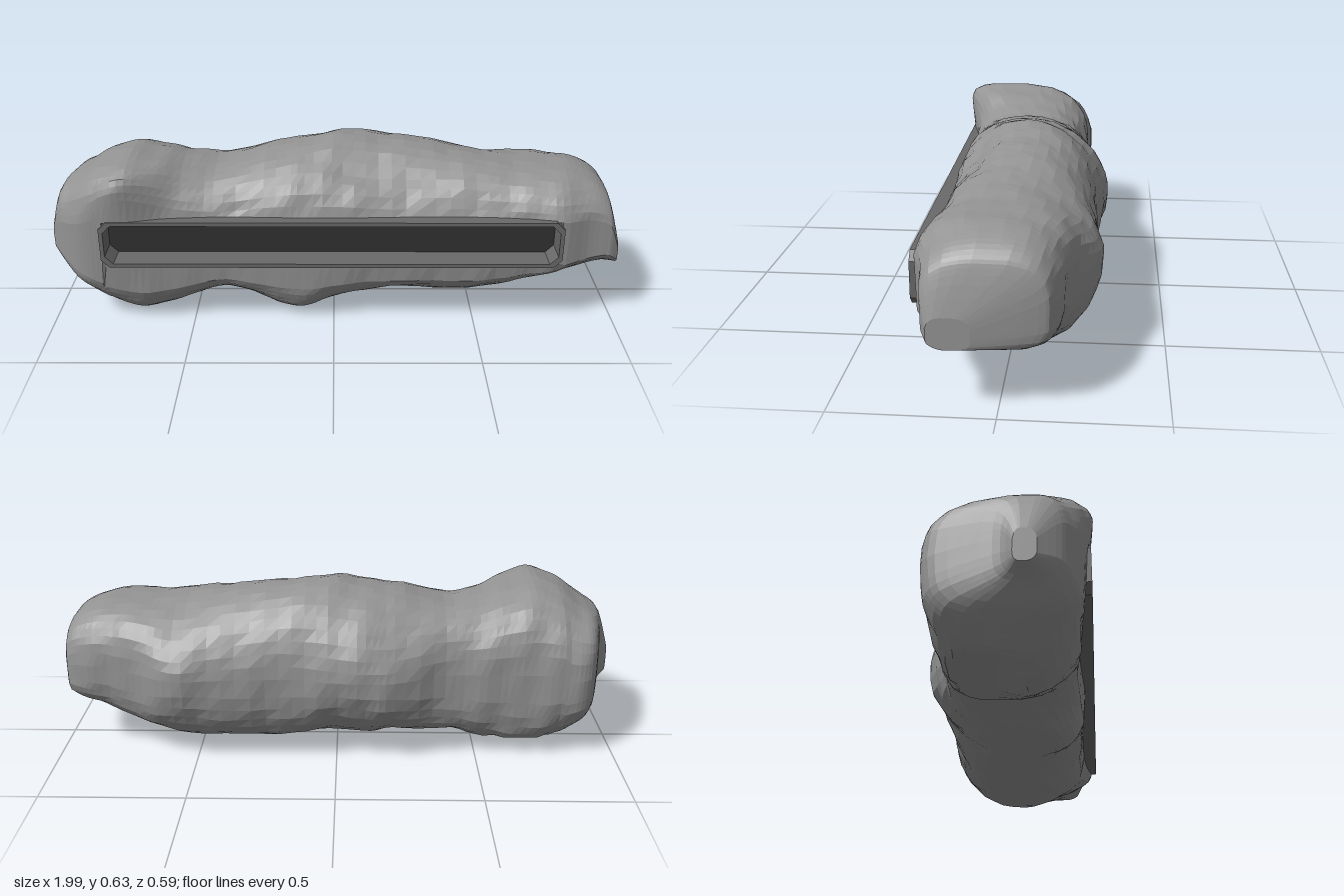
import * as THREE from 'three';

const SLOT = { x0: -0.79, x1: 0.78, y0: 0.25, y1: 0.41, floor: 0.175, face: 0.28 };

// Rock stations along x: x, top, bottom, back, front, z of the ridge, z of the keel
const STATIONS = [
  [-0.997, 0.34, 0.23, 0.06, 0.13, 0.09, 0.09],
  [-0.955, 0.47, 0.19, 0.0, 0.2, 0.09, 0.1],
  [-0.91, 0.51, 0.13, -0.17, 0.235, 0.07, 0.09],
  [-0.86, 0.54, 0.085, -0.215, 0.255, 0.08, 0.08],
  [-0.79, 0.58, 0.035, -0.215, 0.26, 0.1, 0.07],
  [-0.7, 0.605, 0.0, -0.215, 0.26, 0.14, 0.07],
  [-0.6, 0.585, 0.01, -0.215, 0.25, 0.11, 0.07],
  [-0.5, 0.55, 0.04, -0.215, 0.245, 0.06, 0.04],
  [-0.38, 0.54, 0.075, -0.22, 0.24, 0.02, 0.02],
  [-0.2, 0.585, 0.03, -0.285, 0.245, -0.02, 0.11],
  [-0.1, 0.605, 0.02, -0.3, 0.25, -0.03, 0.13],
  [0.03, 0.625, 0.045, -0.285, 0.25, -0.03, 0.06],
  [0.2, 0.605, 0.045, -0.265, 0.245, -0.03, 0.0],
  [0.4, 0.575, 0.035, -0.275, 0.24, -0.02, -0.01],
  [0.57, 0.55, 0.045, -0.285, 0.245, 0.0, -0.02],
  [0.68, 0.545, 0.09, -0.235, 0.255, 0.02, 0.0],
  [0.78, 0.54, 0.135, -0.2, 0.27, 0.04, 0.03],
  [0.88, 0.52, 0.165, -0.18, 0.235, 0.04, 0.06],
  [0.945, 0.48, 0.19, -0.16, 0.225, 0.05, 0.07],
  [0.968, 0.43, 0.2, -0.12, 0.22, 0.07, 0.1],
  [0.997, 0.31, 0.21, 0.07, 0.2, 0.14, 0.15],
];

const columns = [1, 2, 3, 4, 5, 6].map(
  (c) => new THREE.SplineCurve(STATIONS.map((s) => new THREE.Vector2(s[0], s[c])))
);

// Uneven surface: a few crossed waves
const bumps = (x, a) =>
  0.012 * Math.sin(9 * x + 3 * a) + 0.01 * Math.sin(23 * x - 4 * a + 1) +
  0.012 * Math.sin(41 * x + 7 * a) * Math.sin(13 * x - 9 * a);

const bell = (x, centre, width) => Math.exp(-(((x - centre) / width) ** 2));
const power = (v, n) => Math.sign(v) * Math.abs(v) ** (2 / n);

// Lowest the underside may reach: a keel near the front, a flat slope behind
const underside = (z) => Math.max(0, 0.045 - (z < 0 ? 0.12 : 0.64) * z);

// One closed cross-section; inside the slot its front is folded into a pocket
function section(t, pocket) {
  const x = columns[0].getPoint(t).x;
  const [top, bottom, back, front, ridge, keel] = columns.map((c) => c.getPoint(t).y);
  const inSpan = x > SLOT.x0 - 0.001 && x < SLOT.x1 + 0.001;
  const mid = inSpan ? 0.33 : (top + bottom) / 2;
  const square = THREE.MathUtils.clamp((back + 0.29) / 0.08, 0, 1); // narrow parts are boxier
  const brow = bell(x, -0.74, 0.12); // overhanging lump above the slot
  const chamfer = THREE.MathUtils.smoothstep(x, 0, 0.25); // slanted underside on the left half
  const shelf = 0.03 * bell(x, 0.13, 0.2); // hollow in front of the ridge
  const pts = [];
  const sides = 36, start = 0.24;
  for (let j = 0; j <= sides; j++) {
    const a = start + (j / sides) * (2 * Math.PI - 2 * start);
    const up = Math.sin(a) > 0, forward = Math.cos(a) > 0;
    const n = forward
      ? (up ? 2.7 + 1.2 * brow - 0.6 * bell(x, 0.12, 0.3) : 2 - 0.4 * chamfer)
      : (up ? 1.8 + square : 2.2 + 1.3 * square);
    // the lower front drops straight before it is undercut
    const level = forward && !up ? bottom + (mid - bottom) * 0.6 : mid;
    const zc = up ? ridge : keel;
    const k = 1 + (j === 0 || j === sides ? 0 : bumps(x, a));
    let y = level + power(Math.sin(a), n) * (up ? top - level : level - bottom) * k;
    let z = zc + power(Math.abs(Math.cos(a)), n) * ((forward ? front : back) - zc) * k;
    if (up && forward) {
      y -= shelf * bell(z, 0.15, 0.05);
      z += 0.08 * brow * Math.sin(a) * Math.cos(a);
    }
    pts.push([x, Math.max(y, underside(z)), z]);
  }
  const first = pts[0], last = pts[sides];
  if (inSpan) {
    first[1] = SLOT.y1;
    last[1] = SLOT.y0;
  }
  const depth = (p) => (pocket ? SLOT.floor : p[2]);
  pts.push([x, last[1], depth(last)], [x, first[1], depth(first)]);
  return pts;
}

function rockGeometry() {
  const rings = [];
  const spans = STATIONS.length - 1, steps = 4;
  for (let i = 0; i <= spans * steps; i++) {
    const t = i / (spans * steps);
    const x = columns[0].getPoint(t).x;
    // doubled rings make the upright ends of the pocket
    const atStart = Math.abs(x - SLOT.x0) < 1e-4, atEnd = Math.abs(x - SLOT.x1) < 1e-4;
    if (atStart) rings.push(section(t, false), section(t, true));
    else if (atEnd) rings.push(section(t, true), section(t, false));
    else rings.push(section(t, x > SLOT.x0 && x < SLOT.x1));
  }
  const count = rings[0].length;
  const positions = rings.flat(2), index = [];
  for (let i = 0; i < rings.length - 1; i++) {
    for (let j = 0; j < count; j++) {
      const k = (j + 1) % count;
      const a = i * count + j, b = a + count, c = (i + 1) * count + k, d = i * count + k;
      index.push(a, b, c, a, c, d);
    }
  }
  // end caps
  [0, rings.length - 1].forEach((r) => {
    const centre = positions.length / 3;
    for (let axis = 0; axis < 3; axis++) {
      positions.push(rings[r].reduce((sum, p) => sum + p[axis], 0) / count);
    }
    for (let j = 0; j < count; j++) {
      const a = r * count + j, b = r * count + ((j + 1) % count);
      if (r === 0) index.push(centre, a, b);
      else index.push(centre, b, a);
    }
  });
  const geometry = new THREE.BufferGeometry();
  geometry.setAttribute('position', new THREE.Float32BufferAttribute(positions, 3));
  geometry.setIndex(index);
  geometry.computeVertexNormals();
  return geometry;
}

// Rectangle with cut corners, shrunk by an inset
function cutRectangle(Type, inset) {
  const x0 = SLOT.x0 - 0.012 + inset, x1 = SLOT.x1 + 0.006 - inset;
  const y0 = SLOT.y0 - 0.006 + inset, y1 = SLOT.y1 + 0.006 - inset;
  const c = 0.028;
  return new Type([
    [x0 + c, y0], [x1 - c, y0], [x1, y0 + c], [x1, y1 - c],
    [x1 - c, y1], [x0 + c, y1], [x0, y1 - c], [x0, y0 + c],
  ].map(([x, y]) => new THREE.Vector2(x, y)));
}

export function createModel() {
  const group = new THREE.Group();
  group.name = 'rockWithSlot';
  const stone = new THREE.MeshStandardMaterial({ color: 0x949494, flatShading: true });
  const metal = new THREE.MeshStandardMaterial({ color: 0x6a6a6a });
  const dark = new THREE.MeshStandardMaterial({ color: 0x323232 });

  const add = (name, geometry, material, z = 0) => {
    const mesh = new THREE.Mesh(geometry, material);
    mesh.name = name;
    mesh.position.z = z;
    group.add(mesh);
  };

  add('rock', rockGeometry(), stone);

  // frame lining the slot
  const frame = cutRectangle(THREE.Shape, 0);
  frame.holes.push(cutRectangle(THREE.Path, 0.014));
  add('slotFrame', new THREE.ExtrudeGeometry(frame, {
    depth: SLOT.face - SLOT.floor, bevelEnabled: false,
  }), metal, SLOT.floor);

  // dark panel at the bottom of the slot
  add('slotPanel', new THREE.ShapeGeometry(cutRectangle(THREE.Shape, 0.006)), dark, SLOT.floor + 0.012);

  return group;
}
